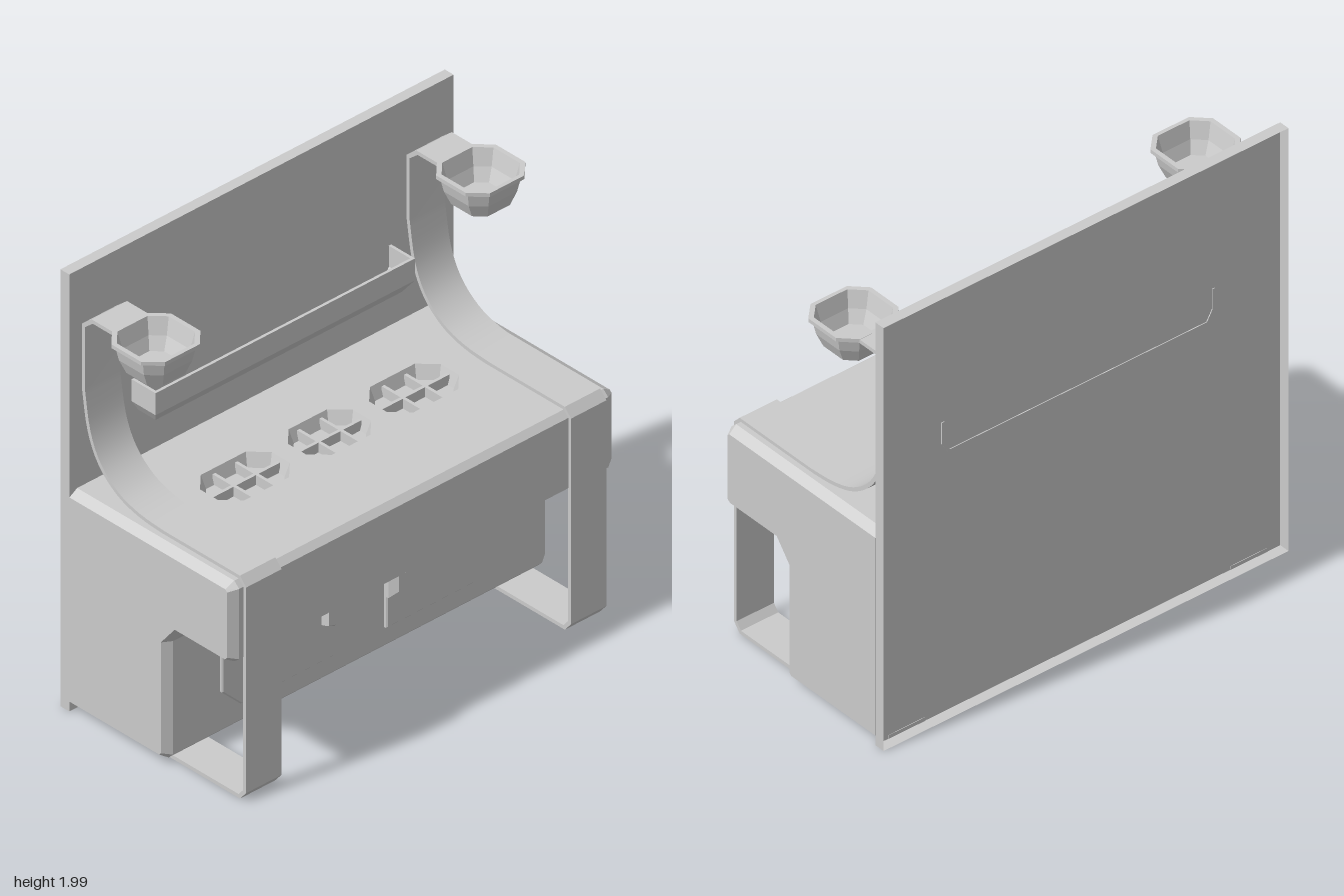
import * as THREE from 'three';
import { toCreasedNormals } from 'three/addons/utils/BufferGeometryUtils.js';

const flat = new THREE.MeshStandardMaterial({ color: 0xcccccc, flatShading: true });
const smooth = new THREE.MeshStandardMaterial({ color: 0xcccccc });
const sheet = new THREE.MeshStandardMaterial({ color: 0xcccccc, flatShading: true, side: THREE.DoubleSide });

function mesh(name, geometry, material = flat) {
  const m = new THREE.Mesh(geometry, material);
  m.name = name;
  return m;
}

function box(name, w, h, d, x, y, z) {
  const m = mesh(name, new THREE.BoxGeometry(w, h, d));
  m.position.set(x, y, z);
  return m;
}

// Skin a row of equal-length closed rings; skip(ring, edge) leaves a gap
function loft(rings, { start = true, skip = () => false } = {}) {
  const pos = [], n = rings[0].length;
  const tri = (...pts) => pts.forEach((p) => pos.push(...p));
  for (let i = 0; i < rings.length - 1; i++) {
    for (let j = 0; j < n; j++) {
      if (skip(i, j)) continue;
      const k = (j + 1) % n, a = rings[i], b = rings[i + 1];
      tri(a[j], a[k], b[k]);
      tri(a[j], b[k], b[j]);
    }
  }
  const first = rings[0], last = rings[rings.length - 1];
  for (let j = 1; j < n - 1; j++) {
    if (start) tri(first[0], first[j + 1], first[j]);
    tri(last[0], last[j], last[j + 1]);
  }
  const g = new THREE.BufferGeometry();
  g.setAttribute('position', new THREE.Float32BufferAttribute(pos, 3));
  g.computeVertexNormals();
  return g;
}

// Horizontal rectangle with cut corners
const octagon = (hx, hz, c, y) => [
  [hx, y, hz - c], [hx, y, c - hz], [hx - c, y, -hz], [c - hx, y, -hz],
  [-hx, y, c - hz], [-hx, y, hz - c], [c - hx, y, hz], [hx - c, y, hz],
];

// Upright ring of (x, y) points at depth z
const upright = (pts, z) => pts.map(([x, y]) => [x, y, z]);

const toShape = (pts) => new THREE.Shape(pts.map(([x, y]) => new THREE.Vector2(x, y)));

// Flat band of given half width following a (z, y) path
function band(path, halfWidth, halfThick) {
  const dir = (a, b) => new THREE.Vector2().subVectors(b, a).normalize();
  return loft(path.map((p, i) => {
    const d0 = dir(path[Math.max(i - 1, 0)], path[Math.max(i, 1)]);
    const d1 = i < path.length - 1 ? dir(p, path[i + 1]) : d0;
    const t = d0.clone().add(d1).normalize();
    const s = halfThick / t.dot(d1);
    const nz = -t.y * s, ny = t.x * s;
    return [
      [halfWidth, p.y - ny, p.x - nz], [halfWidth, p.y + ny, p.x + nz],
      [-halfWidth, p.y + ny, p.x + nz], [-halfWidth, p.y - ny, p.x - nz],
    ];
  }));
}

const basins = [[-0.44, 0.187], [0, 0.17], [0.44, 0.187]];
const basinZ = -0.055, basinHalf = 0.12, basinCut = 0.07;

// Back panel: a front sheet with a rim turned backwards, open behind
function createBackPanel() {
  const outline = [[1, 0], [1, 1.99], [-1, 1.99], [-1, 0]];
  return mesh('backPanel', loft([upright(outline, -0.481), upright(outline, -0.432)], { start: false }), sheet);
}

// Cabinet with overhanging counter, chamfered along every edge
function createCabinet() {
  const g = new THREE.Group();
  g.name = 'cabinet';
  const endX = 0.96;
  const full = [
    [-0.431, 1], [-0.431, 0.018], [0.075, 0.018], [0.1, 0.043], [0.1, 0.56],
    [0.165, 0.633], [0.44, 0.633], [0.467, 0.655], [0.467, 0.975], [0.44, 1],
  ];
  const inset = [
    [-0.431, 0.975], [-0.431, 0.045], [0.065, 0.045], [0.075, 0.055], [0.075, 0.56],
    [0.152, 0.655], [0.43, 0.655], [0.443, 0.668], [0.443, 0.965], [0.433, 0.975],
  ];
  const ring = (pts, x) => pts.map(([z, y]) => [x, y, z]);
  g.add(mesh('cabinetBody', loft(
    [ring(inset, 1), ring(full, endX), ring(full, -endX), ring(inset, -1)],
    { skip: (i, j) => i === 1 && j === full.length - 1 },
  )));

  // Counter surface pierced by the basins
  const top = toShape([[-endX, -0.44], [endX, -0.44], [endX, 0.431], [-endX, 0.431]]);
  for (const [cx, hx] of basins) {
    top.holes.push(new THREE.Path(octagon(hx, basinHalf, basinCut, 0)
      .map(([x, , z]) => new THREE.Vector2(x + cx, -z - basinZ))));
  }
  const counter = mesh('counterTop', new THREE.ShapeGeometry(top));
  counter.rotation.x = -Math.PI / 2;
  counter.position.y = 1;
  g.add(counter);
  return g;
}

// Sunken basin with a grate
function createBasin(cx, hx) {
  const g = new THREE.Group();
  g.name = 'basin';
  g.position.set(cx, 0, basinZ);
  g.add(mesh('basinWell', loft([
    octagon(hx, basinHalf, basinCut, 1),
    octagon(hx - 0.018, basinHalf - 0.018, basinCut - 0.008, 0.94),
  ], { start: false })));
  g.add(box('grateBar', 2 * hx - 0.02, 0.045, 0.014, 0, 0.962, 0));
  for (const s of [-1, 1]) g.add(box('grateBar', 0.014, 0.045, 2 * basinHalf - 0.02, s * 0.058, 0.962, 0));
  return g;
}

// Bent strap that forms the leg, edge band and lamp arm
function createStrap() {
  const v = (z, y) => new THREE.Vector2(z, y);
  const sweep = new THREE.SplineCurve([
    v(0.03, 1.007), v(-0.11, 1.02), v(-0.23, 1.06), v(-0.33, 1.145), v(-0.39, 1.27), v(-0.421, 1.45),
  ]).getPoints(20);
  const path = [
    v(-0.434, 0.009), v(0.443, 0.009), v(0.473, 0.045), v(0.473, 0.975), v(0.443, 1.007),
    ...sweep, v(-0.421, 1.735), v(-0.372, 1.776), v(-0.25, 1.776),
  ];
  return mesh('strap', toCreasedNormals(band(path, 0.092, 0.0085), Math.PI / 7), smooth);
}

// Hollow octagonal bowl with a flat rim
function createBowl() {
  const bowl = mesh('bowl', loft([
    octagon(0.1, 0.1, 0.042, 1.642),
    octagon(0.127, 0.122, 0.053, 1.705),
    octagon(0.14, 0.135, 0.058, 1.768),
    octagon(0.155, 0.147, 0.065, 1.768),
    octagon(0.155, 0.147, 0.065, 1.785),
    octagon(0.135, 0.13, 0.057, 1.785),
    octagon(0.117, 0.113, 0.049, 1.71),
    octagon(0.092, 0.092, 0.04, 1.655),
  ]));
  bowl.position.z = -0.117;
  return bowl;
}

// Door with clipped outer corners and a bevelled pull
function createDoor() {
  const g = new THREE.Group();
  g.name = 'door';
  const outline = [[0.145, 0.13], [0.615, 0.13], [0.71, 0.222], [0.71, 0.428], [0.615, 0.515], [0.145, 0.515]];
  const panel = mesh('doorPanel', new THREE.ExtrudeGeometry(
    toShape(outline), { depth: 0.01, bevelSize: 0.006, bevelThickness: 0.006, bevelSegments: 1 },
  ));
  panel.position.z = 0.099;
  const base = [[0.2, 0.295], [0.2, 0.385], [0.14, 0.405], [0.14, 0.265]];
  g.add(panel, mesh('doorHandle', loft([
    upright(base, 0.11),
    upright(base, 0.122),
    upright([[0.2, 0.31], [0.2, 0.37], [0.165, 0.38], [0.165, 0.3]], 0.155),
  ])));
  return g;
}

// Tray shelf whose wall edges show through the back panel
function createShelf() {
  const g = new THREE.Group();
  g.name = 'shelf';
  const back = -0.431;
  const ring = (hx, y, front) => [[hx, y, front], [hx, y, back], [-hx, y, back], [-hx, y, front]];
  g.add(mesh('shelfTray', loft([
    ring(0.64, 1.21, -0.337), ring(0.675, 1.265, -0.3), ring(0.675, 1.365, -0.3),
    ring(0.662, 1.365, -0.313), ring(0.662, 1.27, -0.313), ring(0.635, 1.223, -0.343),
  ])));
  const half = [[0.64, 1.21], [0.675, 1.265], [0.675, 1.365], [0.662, 1.365], [0.662, 1.27], [0.635, 1.223]];
  const mirrored = half.map(([x, y]) => [-x, y]).reverse();
  const edge = mesh('shelfBackEdge', new THREE.ExtrudeGeometry(
    toShape([...half, ...mirrored]), { depth: 0.006, bevelEnabled: false },
  ));
  edge.position.z = -0.436;
  g.add(edge);
  return g;
}

export function createModel() {
  const model = new THREE.Group();
  model.name = 'counterUnit';
  model.add(createBackPanel(), createCabinet(), createShelf());
  for (const [cx, hx] of basins) model.add(createBasin(cx, hx));

  // Mirrored left and right parts
  for (const s of [1, -1]) {
    const side = new THREE.Group();
    side.name = s > 0 ? 'leftSupport' : 'rightSupport';
    side.position.x = s * 0.845;
    side.add(createStrap(), createBowl());
    const door = createDoor();
    door.scale.x = s;
    model.add(side, door);
  }
  return model;
}
